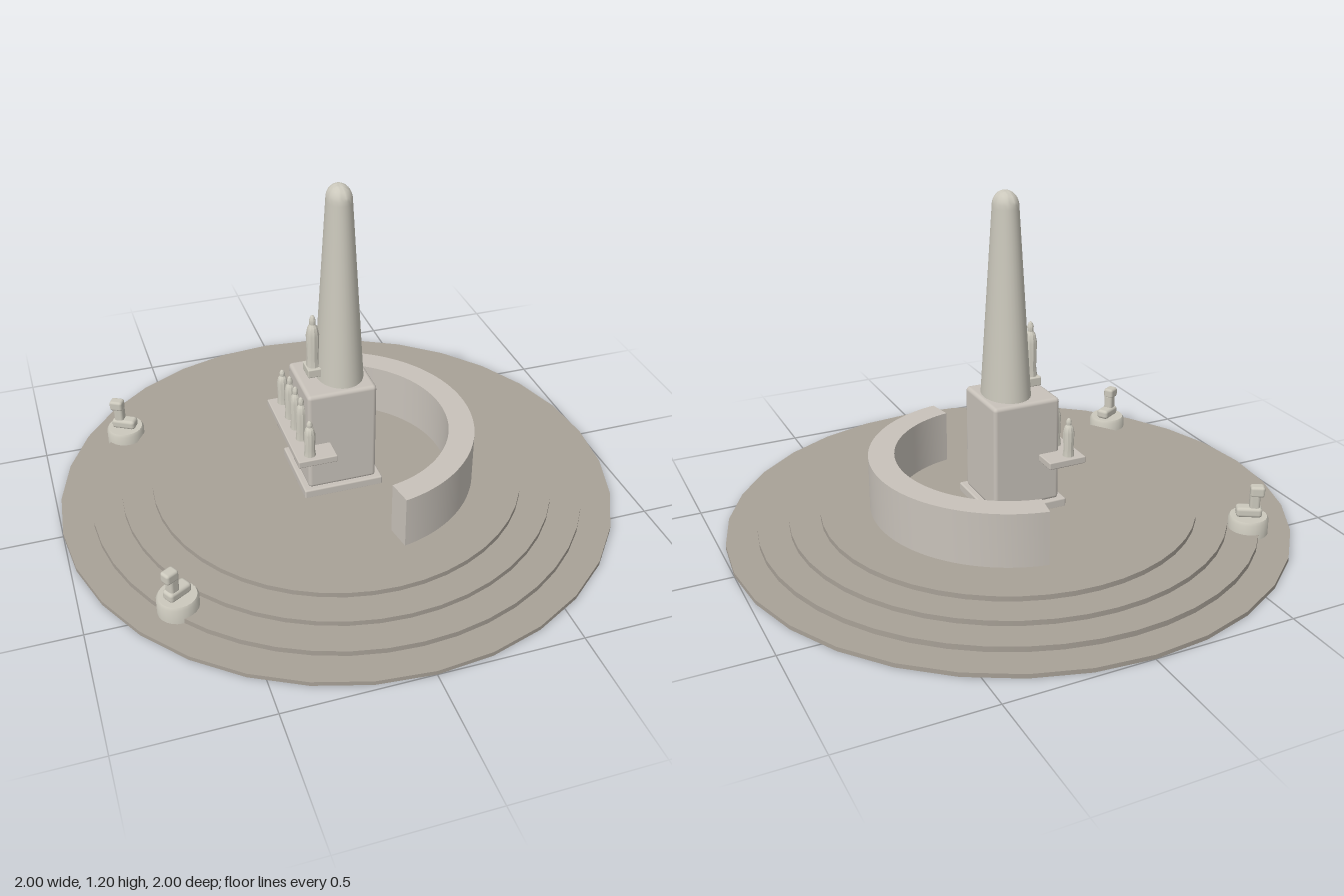
import * as THREE from 'three';
import { toCreasedNormals } from 'three/addons/utils/BufferGeometryUtils.js';
import { RoundedBoxGeometry } from 'three/addons/geometries/RoundedBoxGeometry.js';

export function createModel() {
  const paving = new THREE.MeshStandardMaterial({ name: 'paving stone', color: 0xa8a197 });
  const wallStone = new THREE.MeshStandardMaterial({ name: 'wall stone', color: 0xc8c2ba });
  const paleStone = new THREE.MeshStandardMaterial({ name: 'pale stone', color: 0xcbc8bc });
  const model = new THREE.Group();
  model.name = 'monument';

  function add(parent, name, geometry, material, x = 0, y = 0, z = 0) {
    const mesh = new THREE.Mesh(geometry, material);
    mesh.name = name;
    mesh.position.set(x, y, z);
    parent.add(mesh);
    return mesh;
  }
  // Box given by its limits in x and y, centred on z
  function block(parent, name, x0, x1, y0, y1, depth, material, bevel = 0.004) {
    const geo = new RoundedBoxGeometry(x1 - x0, y1 - y0, depth, 2, bevel);
    return add(parent, name, geo, material, (x0 + x1) / 2, (y0 + y1) / 2, 0);
  }
  function lathe(points, segments) {
    const geo = new THREE.LatheGeometry(points.map(p => new THREE.Vector2(p[0], p[1])), segments);
    return toCreasedNormals(geo, 0.6);
  }

  // Stepped round terrace
  [[1, 0.015], [0.89, 0.034], [0.78, 0.052], [0.67, 0.07]].forEach(([r, top], i, steps) => {
    const bottom = i ? steps[i - 1][1] : 0;
    const geo = toCreasedNormals(new THREE.CylinderGeometry(r, r, top - bottom, i ? 48 : 32), 0.6);
    add(model, 'terraceStep' + (i + 1), geo, paving, 0, (top + bottom) / 2, 0);
  });

  // Curved wall, open towards -x
  const sweep = THREE.MathUtils.degToRad(80);
  const arc = new THREE.Shape();
  arc.absarc(0, 0, 0.495, -sweep, sweep, false);
  arc.absarc(0, 0, 0.403, sweep, -sweep, true);
  const wallGeo = new THREE.ExtrudeGeometry(arc, { depth: 0.195, bevelEnabled: false, curveSegments: 36 });
  wallGeo.rotateX(-Math.PI / 2);
  add(model, 'curvedWall', toCreasedNormals(wallGeo, 0.5), wallStone, 0, 0.068, 0);

  // Pedestal
  block(model, 'pedestalFoot', -0.16, 0.13, 0.065, 0.1, 0.28, wallStone, 0.006);
  block(model, 'pedestal', -0.14, 0.11, 0.095, 0.48, 0.245, wallStone, 0.014);

  // Tapering oval shaft with a rounded cap
  const shaftProfile = [[0.105, 0.475], [0.055, 1.14]];
  for (let i = 1; i <= 8; i++) {
    const a = i / 8 * Math.PI / 2;
    shaftProfile.push([0.055 * Math.cos(a), 1.145 + 0.053 * Math.sin(a)]);
  }
  const shaft = add(model, 'shaft', lathe(shaftProfile, 32), paleStone, 0.01);
  shaft.scale.x = 0.8;

  // Ledge and its bracket
  block(model, 'ledge', -0.2, -0.06, 0.255, 0.281, 0.41, wallStone);
  block(model, 'ledgeBracket', -0.18, -0.11, 0.225, 0.258, 0.3, wallStone);

  // Standing figures: robe, shoulders and narrow head
  const figureGeo = lathe([[0, 0], [0.021, 0], [0.018, 0.025], [0.02, 0.09],
    [0.015, 0.112], [0.009, 0.12], [0.01, 0.132], [0.006, 0.142], [0, 0.146]], 10);
  [-0.17, -0.07, 0, 0.07, 0.17].forEach((z, i) => {
    const figure = add(model, 'ledgeFigure' + (i + 1), figureGeo, paleStone, -0.15, 0.28, z);
    figure.scale.y = Math.abs(z) > 0.1 ? 0.97 : 1.2;
  });

  // Tall figure on a small shelf against the shaft
  block(model, 'upperShelf', -0.112, -0.04, 0.5, 0.532, 0.07, paleStone);
  const upper = add(model, 'upperFigure', figureGeo, paleStone, -0.085, 0.53, 0);
  upper.scale.set(1.15, 1.37, 1.25);

  // Two animal statues facing outwards on round plinths
  for (const side of [-1, 1]) {
    const statue = new THREE.Group();
    statue.name = side > 0 ? 'frontAnimalStatue' : 'backAnimalStatue';
    statue.position.set(-0.693, 0, side * 0.493);
    statue.rotation.y = Math.atan2(-0.5 * side, -0.87);
    const plinth = lathe([[0, 0.001], [0.07, 0.001], [0.07, 0.068], [0.064, 0.078], [0, 0.078]], 24);
    add(statue, 'plinth', plinth, paleStone);
    block(statue, 'body', -0.045, 0.045, 0.076, 0.113, 0.048, paleStone, 0.012);
    block(statue, 'chest', 0, 0.036, 0.1, 0.165, 0.036, paleStone, 0.01);
    block(statue, 'head', 0, 0.05, 0.152, 0.192, 0.04, paleStone, 0.01);
    model.add(statue);
  }
  return model;
}
